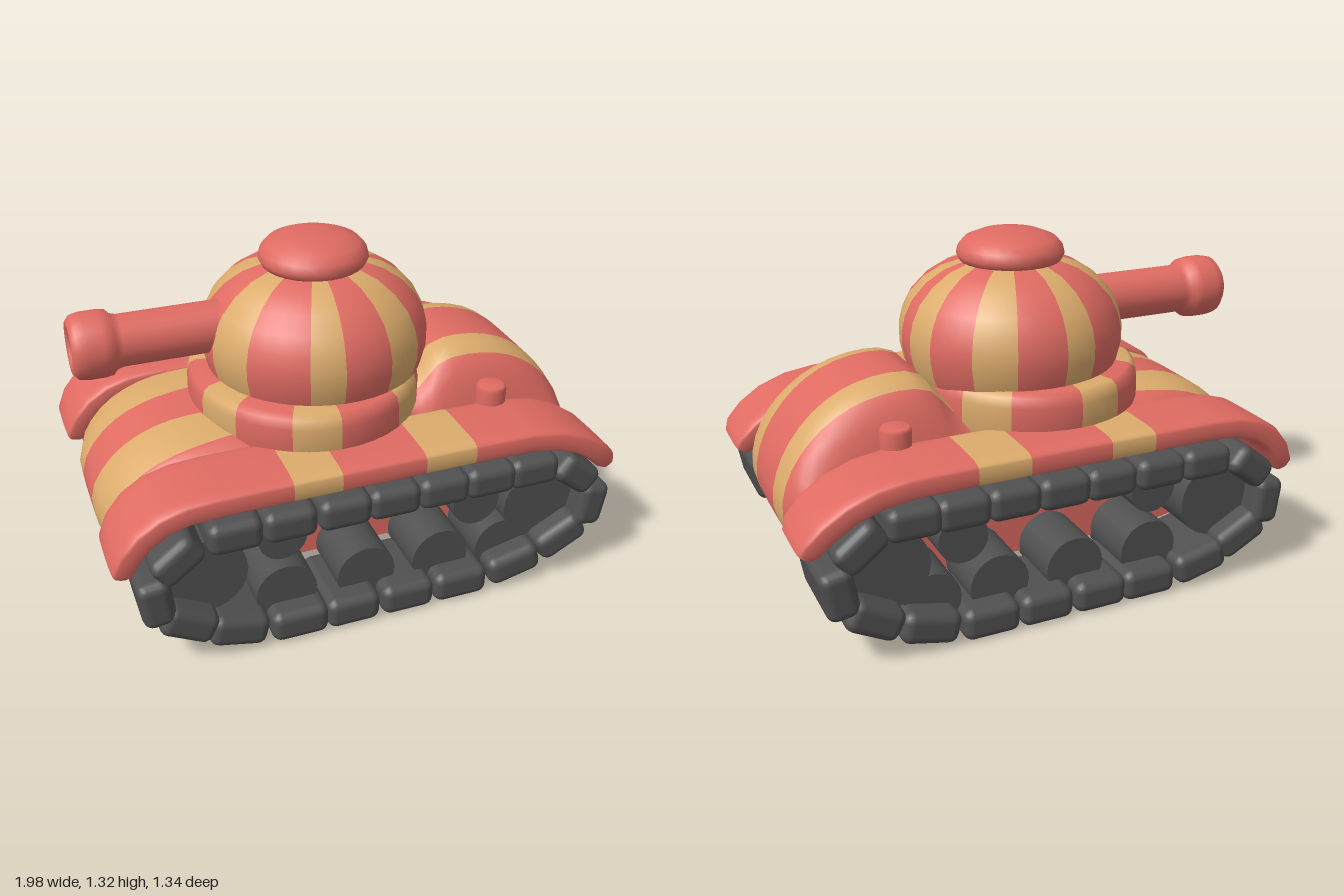
import * as THREE from 'three';
import { RoundedBoxGeometry } from 'three/addons/geometries/RoundedBoxGeometry.js';

const mat = (name, color) => {
  const m = new THREE.MeshStandardMaterial({ color });
  m.name = name;
  return m;
};

// Skin closed rings with two materials; bandColour(i) gives 0 or 1 for the band after ring i
function loft(rings, bandColour) {
  const n = rings[0].length;
  const pos = rings.flat();
  const lists = [[], []];
  for (let i = 0; i < rings.length - 1; i++) {
    const list = lists[bandColour(i)];
    for (let j = 0; j < n; j++) {
      const a = i * n + j, b = i * n + (j + 1) % n;
      list.push(a, b, b + n, a, b + n, a + n);
    }
  }
  // flat end caps, fanned from their centres
  [[rings[0], true], [rings[rings.length - 1], false]].forEach(([ring, first]) => {
    const base = pos.length;
    const c = ring.reduce((s, p) => s.add(p), new THREE.Vector3()).divideScalar(n);
    pos.push(...ring, c);
    for (let j = 0; j < n; j++) {
      const a = base + j, b = base + (j + 1) % n;
      lists[0].push(...(first ? [b, a, base + n] : [a, b, base + n]));
    }
  });
  // turn the faces outward if the enclosed volume is negative
  let volume = 0;
  const cross = new THREE.Vector3();
  for (const l of lists) for (let k = 0; k < l.length; k += 3)
    volume += pos[l[k]].dot(cross.crossVectors(pos[l[k + 1]], pos[l[k + 2]]));
  if (volume < 0) lists.forEach(l => l.reverse());

  const geo = new THREE.BufferGeometry().setFromPoints(pos);
  geo.setIndex([...lists[0], ...lists[1]]);
  geo.addGroup(0, lists[0].length, 0);
  geo.addGroup(lists[0].length, lists[1].length, 1);
  geo.computeVertexNormals();
  return geo;
}

export function createModel() {
  const model = new THREE.Group();
  model.name = 'tank';
  const red = mat('coral red', 0xdf6b62);
  const tan = mat('sand', 0xdcab6c);
  const dark = mat('rubber grey', 0x505050);
  const add = (name, geo, material, x = 0, y = 0, z = 0, parent = model) => {
    const m = new THREE.Mesh(geo, material);
    m.name = name;
    m.position.set(x, y, z);
    parent.add(m);
    return m;
  };
  const v2 = pts => pts.map(p => new THREE.Vector2(p[0], p[1]));

  // Hull: side outline repeated across the width, with a raised engine hump behind
  const outline = new THREE.CatmullRomCurve3([
    [-.5, .1], [0, .1], [.5, .1], [.72, .15], [.87, .25], [.95, .42], [.92, .58],
    [.82, .73], [.68, .83], [.5, .87], [.38, .85], [.28, .74], [.1, .7], [-.25, .7],
    [-.5, .71], [-.72, .68], [-.87, .6], [-.97, .46], [-.97, .34], [-.87, .2], [-.7, .13],
  ].map(p => new THREE.Vector3(p[0], p[1], 0)), true).getSpacedPoints(72).slice(0, 72);
  const half = [.07, .13, .185, .24, .275, .3, .32, .335, .34];
  const stations = [...half.map(z => -z).reverse(), 0, ...half];
  const hullRings = stations.map(s => outline.map(p => {
    // the sand stripes spread toward the nose
    const front = THREE.MathUtils.smoothstep(-p.x, 0, .75);
    const spread = { .13: -.035, .24: .055, .275: .035, .3: .019, .32: .006 }[Math.abs(s)] || 0;
    const z = Math.abs(s) + spread * front;
    const w = Math.pow(z / .34, 6);
    const hump = p.x > .2 && p.y > .55 ? .55 + (p.y - .55) * .25 : p.y;
    const outerY = .4 + (hump - .4) * .86;
    return new THREE.Vector3(p.x * (1 - .07 * w), p.y + (outerY - p.y) * w, Math.sign(s) * z);
  }));
  add('hull', loft(hullRings, i => {
    const z = Math.abs(stations[i] + stations[i + 1]) / 2;
    return z > .13 && z < .24 ? 1 : 0;
  }), [red, tan]);

  // Fenders: rounded slab swept along an arched path, striped across
  const path = [
    [-.967, .405], [-.96, .43], [-.93, .495], [-.88, .555], [-.81, .6], [-.72, .626], [-.6, .634],
    [-.35, .635], [-.17, .635], [.15, .635], [.35, .635], [.58, .632],
    [.7, .615], [.8, .578], [.88, .525], [.935, .47], [.958, .44],
  ];
  const section = [];
  for (let k = 0; k < 24; k++) {
    const a = k / 24 * Math.PI * 2;
    const soft = v => Math.sign(v) * Math.pow(Math.abs(v), .4);
    section.push([soft(Math.cos(a)) * .15, soft(Math.sin(a)) * .047]);
  }
  const fenderRings = path.map((p, i) => {
    const a = path[Math.max(i - 1, 0)], b = path[Math.min(i + 1, path.length - 1)];
    const len = Math.hypot(b[0] - a[0], b[1] - a[1]);
    const nx = -(b[1] - a[1]) / len, ny = (b[0] - a[0]) / len;
    const end = Math.min(i, path.length - 1 - i);
    const wide = [.78, .9, .97][end] || 1, thick = [.6, .95][end] || 1;
    return section.map(s => new THREE.Vector3(
      p[0] + nx * s[1] * thick, p[1] + ny * s[1] * thick, s[0] * wide));
  });
  const fenderGeo = loft(fenderRings, i => i === 7 || i === 9 ? 1 : 0);

  // Tracks: pads [x, y, angle in degrees, length]
  const pads = [
    [-.775, .465, 38, .19], [-.86, .305, 97, .19], [-.75, .18, -28, .21], [-.57, .1, -13, .22],
    [-.34, .07, 0, .22], [-.13, .07, 0, .21], [.09, .07, 0, .21], [.31, .07, 0, .22],
    [.54, .1, 13, .22], [.74, .18, 28, .21], [.86, .31, 80, .19], [.78, .465, -38, .19],
  ];
  for (const x of [-.57, -.37, -.165, .025, .22, .41, .59]) pads.push([x, .52, 0, .2]);
  // wheels [x, y, radius]
  const wheels = [
    [-.665, .325, .152], [.665, .325, .152], [-.37, .17, .117], [-.055, .17, .115],
    [.25, .17, .115], [.51, .16, .11], [-.38, .42, .092], [.39, .385, .095],
  ];
  for (const side of [1, -1]) {
    const track = new THREE.Group();
    track.name = side > 0 ? 'leftSideTrack' : 'rightSideTrack';
    model.add(track);
    for (const [x, y, deg, len] of pads) {
      const pad = add('trackPad', new RoundedBoxGeometry(len, .122, .33, 2, .038), dark, x, y, side * .505, track);
      pad.rotation.z = THREE.MathUtils.degToRad(deg);
    }
    for (const [x, y, r] of wheels) {
      const wheel = add('wheel', new THREE.CylinderGeometry(r, r, .26, 24), dark, x, y, side * .45, track);
      wheel.rotation.x = Math.PI / 2;
    }
    add('fender', fenderGeo, [red, tan], 0, 0, side * .48);
    // small filler cap beside the engine hump
    add('fillerCap', new THREE.LatheGeometry(v2([
      [.058, -.06], [.06, .025], [.05, .038], [0, .038],
    ]), 12), red, .547, .71, side * .343);
  }

  // Striped turned parts: sand spans in degrees from +x, mirrored across z
  function stripedLathe(name, profile, spans, x) {
    const group = new THREE.Group();
    group.name = name;
    group.position.x = x;
    model.add(group);
    const cuts = [...spans.flat(), ...spans.flat().map(a => 360 - a)].sort((a, b) => a - b);
    cuts.forEach((from, i) => {
      const to = i + 1 < cuts.length ? cuts[i + 1] : cuts[0] + 360;
      const isTan = i % 2 === 0;
      const start = THREE.MathUtils.degToRad(90 - to), size = THREE.MathUtils.degToRad(to - from);
      add(isTan ? name + 'SandStripe' : name + 'RedPanel',
        new THREE.LatheGeometry(v2(profile), Math.max(2, Math.round((to - from) / 8)), start, size),
        isTan ? tan : red, 0, 0, 0, group);
    });
    return group;
  }
  const ring = stripedLathe('turretRing', [
    [.47, .62], [.49, .69], [.488, .77], [.478, .805], [.455, .82], [.38, .825],
  ], [[34, 58], [92, 115], [143, 166]], -.105);
  ring.scale.x = .91;
  stripedLathe('turretDome', [
    [.4, .79], [.418, .83], [.434, .9], [.434, .96], [.42, 1.02], [.39, 1.08],
    [.335, 1.14], [.265, 1.185], [.19, 1.21], [.1, 1.22],
  ], [[6, 23], [47, 69], [94, 111], [143, 168]], -.055);

  // Hatch on top of the dome
  add('hatch', new THREE.LatheGeometry(v2([
    [.17, 1.19], [.196, 1.212], [.208, 1.235], [.2, 1.265], [.175, 1.293], [.12, 1.315], [.06, 1.324], [0, 1.326],
  ]), 28), red, -.055);

  // Gun barrel with a thick muzzle and an open bore
  const gun = add('gunBarrel', new THREE.LatheGeometry(v2([
    [.097, .35], [.097, .8], [.104, .825], [.121, .84], [.125, .87], [.125, .93], [.118, .965],
    [.098, .983], [.075, .983], [.06, .965], [.055, .88], [0, .88],
  ]), 24), red, 0, 1.005, -.005);
  gun.rotation.z = Math.PI / 2;

  return model;
}
